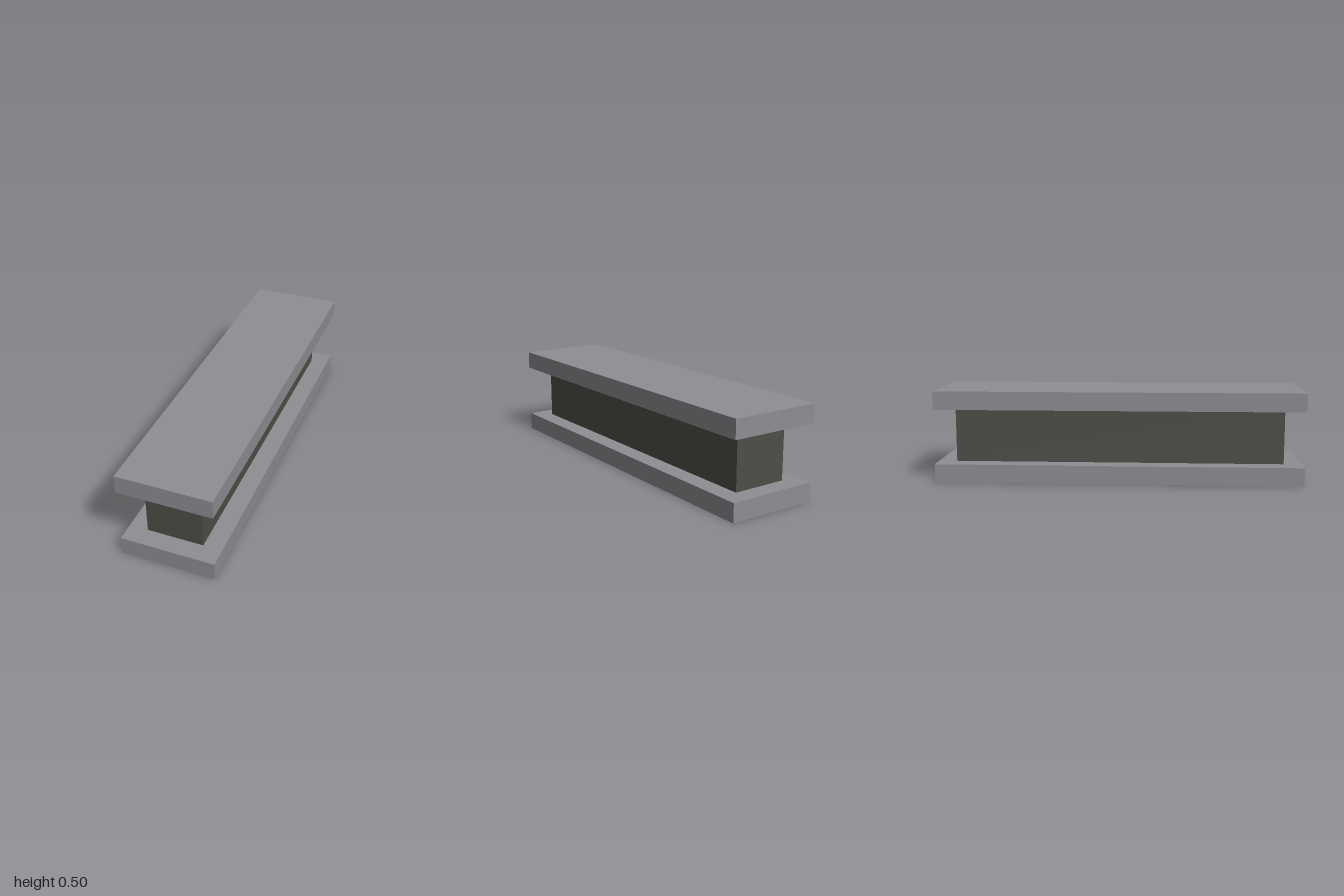
import * as THREE from 'three';

export function createModel() {
  const model = new THREE.Group();
  model.name = 'beam';

  const flangeGrey = new THREE.MeshStandardMaterial({ color: 0x8e8e93 });
  flangeGrey.name = 'flange grey';
  const webGrey = new THREE.MeshStandardMaterial({ color: 0x4e4e48 });
  webGrey.name = 'dark web grey';

  // Box standing on a given height, centred on x and z
  const slab = (name, width, height, length, bottom, material) => {
    const mesh = new THREE.Mesh(new THREE.BoxGeometry(width, height, length), material);
    mesh.name = name;
    mesh.position.y = bottom + height / 2;
    model.add(mesh);
  };

  // Two wide flanges joined by a narrower, shorter web
  slab('bottomFlange', 0.5, 0.1, 2, 0, flangeGrey);
  slab('web', 0.3, 0.3, 1.8, 0.1, webGrey);
  slab('topFlange', 0.5, 0.1, 2, 0.4, flangeGrey);

  return model;
}
